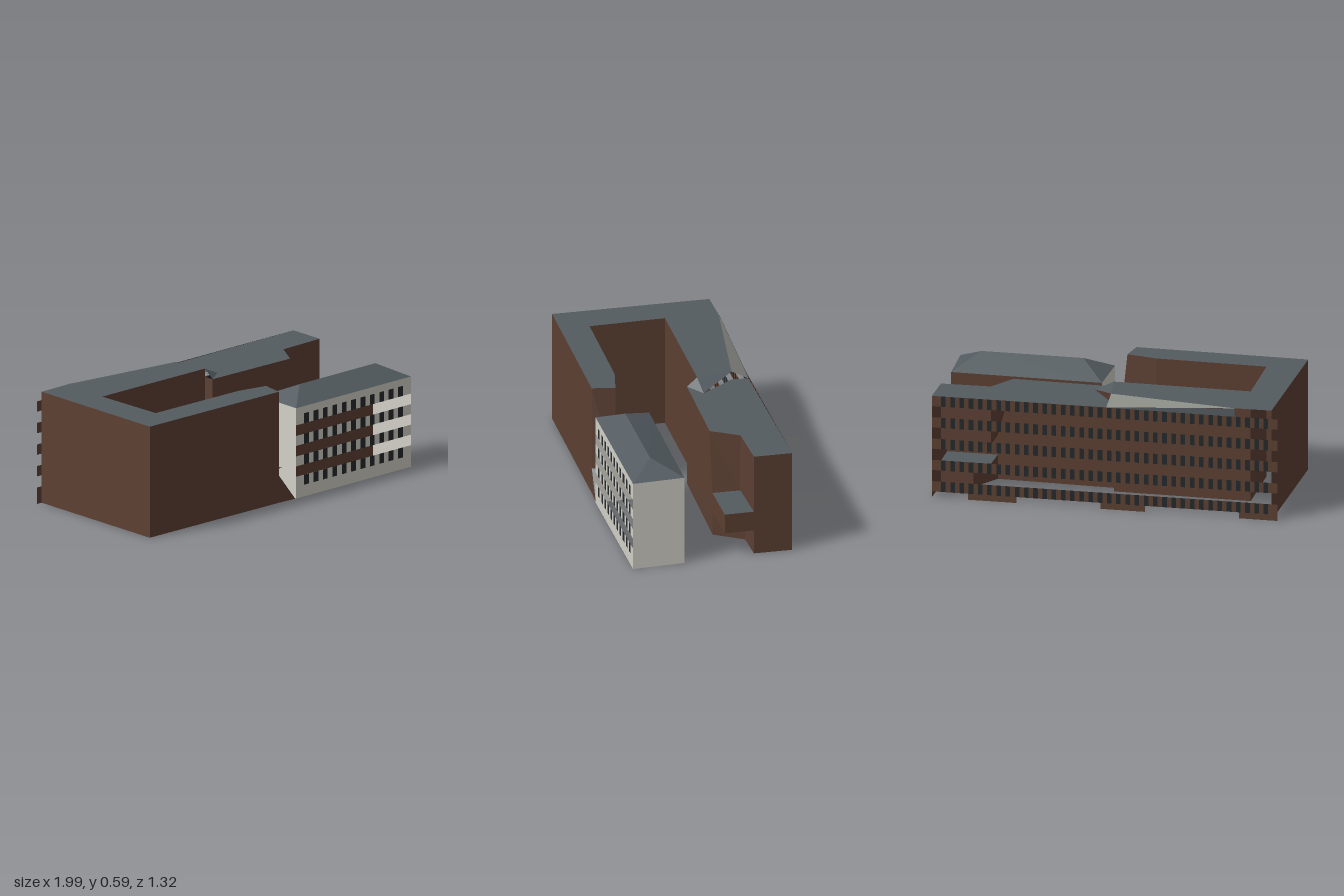
import * as THREE from 'three';
import { mergeGeometries } from 'three/addons/utils/BufferGeometryUtils.js';

const paint = (name, color) => {
  const m = new THREE.MeshStandardMaterial({ color, side: THREE.DoubleSide });
  m.name = name;
  return m;
};

// flat convex polygon from [x, y, z] corners
function face(...pts) {
  const pos = [];
  for (let i = 1; i < pts.length - 1; i++) pos.push(...pts[0], ...pts[i], ...pts[i + 1]);
  const g = new THREE.BufferGeometry();
  g.setAttribute('position', new THREE.Float32BufferAttribute(pos, 3));
  g.computeVertexNormals();
  return g;
}

// upright walls along a plan path of [x, z] points
function walls(path, y0, y1) {
  return path.slice(1).map((b, i) => {
    const a = path[i];
    return face([a[0], y0, a[1]], [b[0], y0, b[1]], [b[0], y1, b[1]], [a[0], y1, a[1]]);
  });
}

// level surface with a plan outline of [x, z] points
function slab(outline, y) {
  const g = new THREE.ShapeGeometry(new THREE.Shape(outline.map(([x, z]) => new THREE.Vector2(x, -z))));
  g.rotateX(-Math.PI / 2).translate(0, y, 0);
  g.deleteAttribute('uv');
  return g.toNonIndexed();
}

export function createModel() {
  const brick = paint('brick brown', 0x5c4033);
  const plaster = paint('pale plaster', 0xd2d0c8);
  const roof = paint('slate roof', 0x535b60);
  const slope = paint('warm grey roof', 0x83857e);
  const glass = paint('dark glass', 0x24292b);

  const group = new THREE.Group();
  const add = (name, mat, geos, parent = group) => {
    const m = new THREE.Mesh(mergeGeometries(geos), mat);
    m.name = name;
    parent.add(m);
  };

  // storey strip between plan points a and b: panes and piers alternate in one plane
  function windowStrip(name, mat, a, b, y0, y1, count, margin, paneShare) {
    const at = (t) => [a[0] + (b[0] - a[0]) * t, a[1] + (b[1] - a[1]) * t];
    const step = (1 - 2 * margin) / count;
    const panes = [], piers = [];
    let from = 0;
    for (let i = 0; i < count; i++) {
      const t0 = margin + step * (i + 0.5 - paneShare / 2), t1 = t0 + step * paneShare;
      piers.push(...walls([at(from), at(t0)], y0, y1));
      panes.push(...walls([at(t0), at(t1)], y0, y1));
      from = t1;
    }
    piers.push(...walls([at(from), b], y0, y1));
    const strip = new THREE.Group();
    strip.name = name;
    add('piers', mat, piers, strip);
    add('windowPanes', glass, panes, strip);
    group.add(strip);
  }

  const HIGH = 0.59, LOW = 0.545, LEDGE = 0.235, SOFFIT = 0.13;

  // courtyard block: outer and inner walls
  const backLeft = [-0.97, -0.13], frontLeft = [-0.74, 0.655], frontEnd = [0.115, 0.395];
  const court = [[-0.05, -0.13], [-0.73, 0.08], [-0.61, 0.455], [-0.06, 0.29], [0.1, 0.275]];
  add('outerWalls', brick, [
    ...walls([backLeft, frontLeft, frontEnd], 0, HIGH),
    face([0.115, 0, 0.395], [0.22, 0, 0.367], [0.115, 0.14, 0.395]),
  ]);
  add('courtyardWalls', brick, walls(court, 0, HIGH));
  add('frontWingEnd', brick, [
    face([0.115, HIGH, 0.395], [0.115, 0.14, 0.395], [0.15, 0.14, 0.27], [0.1, HIGH, 0.275]),
    face([0.1, 0, 0.275], [0.15, 0, 0.27], [0.15, 0.14, 0.27], [0.1, HIGH, 0.275]),
  ]);
  add('cornerRamp', roof, [face([0.115, 0.14, 0.395], [0.22, 0, 0.367], [0.15, 0.14, 0.27])]);
  add('connector', brick, [
    ...walls([[0.15, 0.27], [0.13, 0.2], [0.17, 0.185]], 0, 0.14),
    slab([[0.15, 0.27], [0.13, 0.2], [0.17, 0.185], [0.195, 0.27]], 0.14),
  ]);
  add('courtyardRoof', roof, [
    slab([backLeft, [-0.79, -0.19], [-0.13, -0.3], ...court, frontEnd, frontLeft], HIGH),
  ]);

  // change of level between the two roofs
  add('backRoofSlope', slope, [face([-0.79, HIGH, -0.19], [-0.15, LOW, -0.385], [-0.13, HIGH, -0.3])]);
  add('roofStep', roof, [
    face([-0.13, HIGH, -0.3], [-0.05, HIGH, -0.13], [0.04, LOW, -0.17]),
    face([-0.05, HIGH, -0.13], [-0.03, LOW, -0.08], [0.04, LOW, -0.17]),
    face([-0.15, LOW, -0.388], [-0.79, HIGH, -0.192], [-0.79, LOW, -0.192]),
  ]);

  // rear wing with stepped east end
  add('rearRoof', roof, [
    slab([[-0.15, -0.385], [0.71, -0.665], [0.765, -0.475], [0.52, -0.39],
      [0.48, -0.23], [-0.03, -0.08], [0.04, -0.17], [-0.13, -0.3]], LOW),
  ]);
  add('rearWingWalls', brick, [
    ...walls([[-0.05, -0.13], [-0.03, -0.08]], 0, LOW),
    face([-0.03, 0, -0.08], [0.56, 0, -0.25], [0.56, LEDGE, -0.25], [0.48, LOW, -0.23], [-0.03, LOW, -0.08]),
    face([0.48, LOW, -0.23], [0.56, LEDGE, -0.25], [0.52, LEDGE, -0.39], [0.52, LOW, -0.39]),
    ...walls([[0.52, -0.39], [0.765, -0.475]], LEDGE, LOW),
    ...walls([[0.765, -0.475], [0.71, -0.665]], 0, LOW),
    ...walls([[0.56, -0.25], [0.605, -0.42], [0.765, -0.475]], 0, SOFFIT),
  ]);

  // low overhanging bay
  const bay = [[0.56, -0.25], [0.81, -0.33], [0.765, -0.475], [0.52, -0.39]];
  add('bayWalls', brick, walls(bay.slice(0, 3), SOFFIT, LEDGE));
  add('bayRoofAndSoffit', roof, [slab(bay, LEDGE), slab(bay, SOFFIT)]);

  // rear facade: five open-gapped window strips, with solid base blocks
  const rearA = [-1, -0.122], rearB = [0.71, -0.665];
  const rearZ = (x) => rearA[1] + (rearB[1] - rearA[1]) * (x - rearA[0]) / (rearB[0] - rearA[0]);
  for (let i = 0; i < 5; i++) {
    const y = 0.032 + i * 0.1145;
    windowStrip('rearWindowStrip', brick, rearA, rearB, y, y + 0.055, 36, 0.02, 0.5);
  }
  for (const [x0, x1] of [[-1, -0.81], [-0.345, -0.125], [0.29, 0.53]]) {
    add('rearBaseBlock', brick, walls([[x0, rearZ(x0)], [x1, rearZ(x1)]], 0, 0.032));
  }

  // pale wing: brick back, plaster ends, strip-windowed front
  const nw = [0.15, 0.1], ne = [0.9, -0.13], se = [0.99, 0.125], sw = [0.225, 0.368];
  const EAVE = 0.48, RIDGE = 0.552;
  add('paleWingBack', brick, walls([nw, ne], 0, EAVE));
  add('paleWingEnds', plaster, [...walls([ne, se], 0, EAVE), ...walls([sw, nw], 0, EAVE)]);
  for (let i = 0; i < 4; i++) {
    const y = 0.062 + i * 0.109;
    windowStrip('frontWindowStrip', plaster, sw, se, y, y + 0.053, 11, 0.05, 0.5);
  }
  add('paleWingBase', plaster, walls([sw, se], 0, 0.062));
  add('paleWingCornice', plaster, walls([sw, se], 0.442, EAVE));

  // hipped roof
  const [a, b, c, d] = [nw, ne, se, sw].map(([x, z]) => [x, EAVE, z]);
  const r0 = [0.32, RIDGE, 0.21], r1 = [0.825, RIDGE, 0.05];
  add('hippedRoof', roof, [face(a, b, r1, r0), face(b, c, r1), face(c, d, r0, r1), face(d, a, r0)]);

  return group;
}
